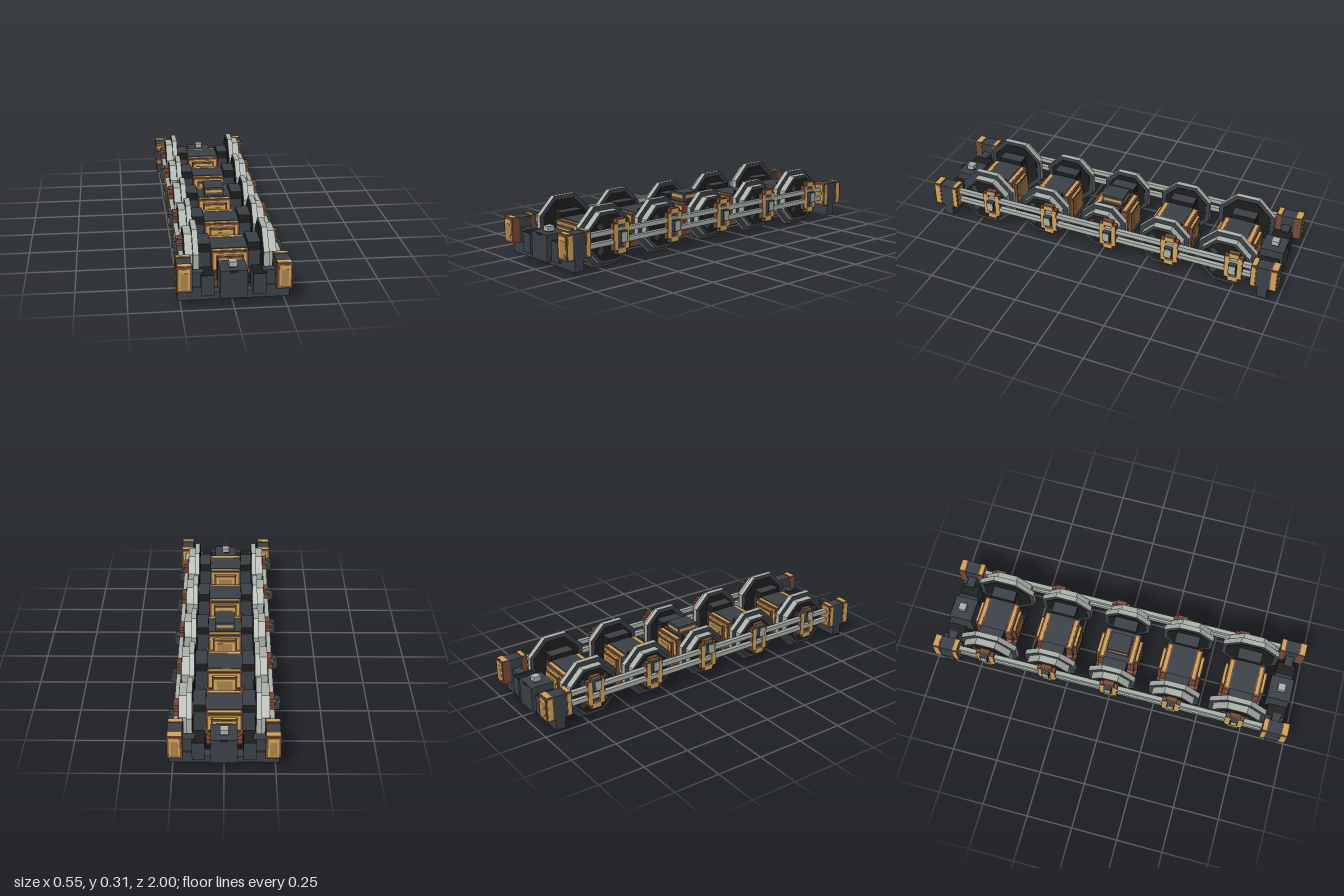
import * as THREE from 'three';

const mat = (name, color) => {
  const m = new THREE.MeshStandardMaterial({ color });
  m.name = name;
  return m;
};

export function createModel() {
  const slate = mat('slate steel', 0x3b4148);
  const black = mat('black iron', 0x1e1e1e);
  const grey = mat('bare steel', 0xadb3ac);
  const brown = mat('copper brown', 0x784a38);
  const gold = mat('brass', 0xd0a75a);
  const tan = mat('bronze', 0xb0834f);

  const model = new THREE.Group();
  model.name = 'drivingBogie';

  // Box given by its two limits on each axis
  function box(parent, name, m, x0, x1, y0, y1, z0, z1) {
    const mesh = new THREE.Mesh(new THREE.BoxGeometry(Math.abs(x1 - x0), y1 - y0, Math.abs(z1 - z0)), m);
    mesh.position.set((x0 + x1) / 2, (y0 + y1) / 2, (z0 + z1) / 2);
    mesh.name = name;
    parent.add(mesh);
    return mesh;
  }

  // Eight-sided disc on the x axis; r is the distance to the flats
  function octagon(parent, name, m, r, x0, x1) {
    const R = r / Math.cos(Math.PI / 8);
    const g = new THREE.CylinderGeometry(R, R, Math.abs(x1 - x0), 8).toNonIndexed();
    g.rotateY(Math.PI / 8).rotateZ(Math.PI / 2);
    g.computeVertexNormals();
    const mesh = new THREE.Mesh(g, m);
    mesh.position.set((x0 + x1) / 2, 0.155, 0);
    mesh.name = name;
    parent.add(mesh);
  }

  // Flanged wheel with steel rims and dark faces
  function wheel(parent, s, r) {
    const rim = [grey, slate, slate];
    octagon(parent, 'wheelFlange', rim, r, s * 0.155, s * 0.183);
    octagon(parent, 'wheelTread', rim, r - 0.025, s * 0.183, s * 0.221);
    octagon(parent, 'wheelOuterFace', black, r - 0.04, s * 0.217, s * 0.2225);
    octagon(parent, 'wheelInnerFace', black, r - 0.022, s * 0.152, s * 0.16);
    for (let i = 0; i < 4; i++) { // small diagonal spokes
      const a = Math.PI / 4 + i * Math.PI / 2;
      const b = box(parent, 'wheelSpoke', slate, s * 0.218, s * 0.224, 0, 0.034, -0.014, 0.014);
      b.position.y = 0.155 + Math.cos(a) * (r - 0.07);
      b.position.z = Math.sin(a) * (r - 0.07);
      b.rotation.x = a;
    }
  }

  // Outline and slot of the slotted rod bracket, in z-y
  function bracketShape(inset) {
    const h = 0.091 - inset, w = 0.05 - inset, c = 0.021;
    const s = new THREE.Shape();
    [[-w + c, -h], [w - c, -h], [w - c, -h + c], [w, -h + c], [w, h - c], [w - c, h - c],
      [w - c, h], [-w + c, h], [-w + c, h - c], [-w, h - c], [-w, -h + c], [-w + c, -h + c]]
      .forEach(([x, y], i) => (i ? s.lineTo(x, y) : s.moveTo(x, y)));
    const a = 0.021, b = 0.06;
    const hole = new THREE.Path();
    hole.moveTo(-a, -b); hole.lineTo(-a, b); hole.lineTo(a, b); hole.lineTo(a, -b); hole.closePath();
    s.holes.push(hole);
    return s;
  }
  function bracketLayer(parent, name, m, inset, x0, x1, z) {
    const depth = Math.abs(x1 - x0);
    const g = new THREE.ExtrudeGeometry(bracketShape(inset), { depth, bevelEnabled: false });
    g.translate(0, 0, -depth / 2).rotateY(Math.PI / 2);
    const mesh = new THREE.Mesh(g, m);
    mesh.position.set((x0 + x1) / 2, 0.156, z);
    mesh.name = name;
    parent.add(mesh);
  }

  // Five axles, the wheels growing toward both ends
  const radii = [0.156, 0.14, 0.13, 0.14, 0.156];
  radii.forEach((r, i) => {
    const axle = new THREE.Group();
    axle.name = 'axle' + (i + 1);
    axle.position.z = (i - 2) * 0.351;
    model.add(axle);

    // Gearbox between the wheels
    box(axle, 'gearboxCore', slate, -0.09, 0.09, 0.11, 0.21, -0.066, 0.066);
    box(axle, 'gearboxFrame', brown, -0.09, 0.09, 0.105, 0.207, -0.1, 0.1);
    box(axle, 'gearboxNose', brown, -0.065, 0.065, 0.05, 0.187, -0.118, 0.118);
    box(axle, 'gearboxFoot', brown, -0.09, 0.09, 0.04, 0.065, -0.118, 0.118);
    box(axle, 'gearboxUnderside', slate, -0.09, 0.09, 0.035, 0.041, -0.118, 0.118);
    for (const z of [-1, 1]) {
      box(axle, 'brassFacePanel', gold, -0.08, 0.08, 0.115, 0.198, z * 0.097, z * 0.102);
      box(axle, 'brassNosePanel', gold, -0.055, 0.055, 0.075, 0.178, z * 0.117, z * 0.12);
      box(axle, 'bronzeNosePanel', tan, -0.04, 0.04, 0.085, 0.165, z * 0.118, z * 0.122);
      box(axle, 'brassTopStrip', gold, -0.08, 0.08, 0.204, 0.209, z * 0.074, z * 0.09);
      box(axle, 'brassNoseStrip', gold, -0.055, 0.055, 0.184, 0.189, z * 0.1, z * 0.113);
    }

    for (const s of [-1, 1]) {
      const brace = box(axle, 'gearboxBrace', brown, -0.009, 0.009, 0, 0.06, -0.1, 0.1);
      brace.position.set(s * 0.077, 0.085, 0);
      brace.rotation.z = -s * 0.75;
      box(axle, 'axleBox', slate, s * 0.09, s * 0.155, 0.075, 0.19, -0.066, 0.066);
      box(axle, 'axleBoxCover', black, s * 0.09, s * 0.155, 0.19, 0.234, -0.066, 0.066);
      box(axle, 'axleBoxCap', slate, s * 0.09, s * 0.155, 0.2335, 0.2355, -0.066, 0.066);
      wheel(axle, s, r);

      // Slotted bracket and crank pin, a quarter turn apart on the two sides
      const z = s > 0 ? -0.054 : 0;
      const y = s > 0 ? 0.156 : 0.205;
      box(axle, 'bracketBacking', slate, s * 0.2215, s * 0.229, 0.094, 0.218, z - 0.024, z + 0.024);
      bracketLayer(axle, 'rodBracket', brown, 0, s * 0.222, s * 0.247, z);
      bracketLayer(axle, 'rodBracketTrim', gold, 0.005, s * 0.246, s * 0.249, z);
      box(axle, 'crankPin', slate, s * 0.215, s * 0.27, y - 0.03, y + 0.03, z - 0.021, z + 0.021);
      box(axle, 'crankPinCap', grey, s * 0.268, s * 0.273, y - 0.025, y + 0.025, z - 0.017, z + 0.017);
    }

    // Raised pivot plate on the centre axle
    if (i === 2) {
      box(axle, 'pivotBase', slate, -0.052, 0.052, 0.205, 0.225, -0.06, 0.06);
      box(axle, 'pivotBlock', brown, -0.052, 0.052, 0.224, 0.248, -0.06, 0.06);
      box(axle, 'pivotPlate', slate, -0.052, 0.052, 0.247, 0.26, -0.06, 0.06);
      for (const z of [-1, 1])
        box(axle, 'pivotTrim', gold, -0.044, 0.044, 0.233, 0.246, z * 0.058, z * 0.062);
      for (const s of [-1, 1])
        box(axle, 'pivotSideTrim', gold, s * 0.05, s * 0.0535, 0.233, 0.246, -0.05, 0.05);
    }
  });

  // Twin coupling rods on each side
  for (const s of [-1, 1])
    for (const y of [0.133, 0.187])
      box(model, 'couplingRod', grey, s * 0.224, s * 0.247, y - 0.012, y + 0.012, -0.86, 0.86);

  // Matching end beams
  for (const d of [-1, 1]) {
    const end = new THREE.Group();
    end.name = d > 0 ? 'frontBeam' : 'rearBeam';
    model.add(end);
    const b = (name, m, x0, x1, y0, y1, z0, z1) => box(end, name, m, x0, x1, y0, y1, d * z0, d * z1);
    b('lowerBeam', slate, -0.267, 0.267, 0.028, 0.065, 0.895, 0.948);
    b('centreBox', slate, -0.065, 0.065, 0.04, 0.18, 0.845, 0.97);
    b('centrePinBase', black, -0.02, 0.02, 0.178, 0.184, 0.89, 0.93);
    b('centrePin', grey, -0.02, 0.02, 0.183, 0.208, 0.89, 0.93);
    b('centrePinKeeper', black, -0.02, 0.02, 0.169, 0.181, 0.967, 0.972);
    for (const s of [-1, 1]) {
      b('beamEnd', slate, s * 0.14, s * 0.267, 0.03, 0.092, 0.895, 0.948);
      b('beamArm', slate, s * 0.14, s * 0.2, 0.09, 0.165, 0.897, 0.942);
      b('sideBox', slate, s * 0.092, s * 0.155, 0.053, 0.156, 0.862, 0.963);
      b('sideBoxLid', black, s * 0.092, s * 0.155, 0.1555, 0.158, 0.862, 0.963);
      // Corner block with framed brass ends
      b('cornerBlock', slate, s * 0.2, s * 0.27, 0.09, 0.219, 0.875, 0.975);
      b('cornerInnerFrame', brown, s * 0.197, s * 0.272, 0.09, 0.222, 0.855, 0.885);
      b('cornerOuterFrame', brown, s * 0.197, s * 0.272, 0.092, 0.222, 0.957, 0.997);
      b('cornerPanel', gold, s * 0.209, s * 0.262, 0.104, 0.21, 0.993, 0.999);
      b('cornerPanelCentre', tan, s * 0.218, s * 0.253, 0.107, 0.19, 0.995, 1.0);
      b('cornerBackPanel', gold, s * 0.209, s * 0.262, 0.104, 0.21, 0.853, 0.857);
      b('cornerBackCentre', tan, s * 0.218, s * 0.253, 0.107, 0.19, 0.852, 0.856);
      for (const [z, h] of [[0.87, 0.01], [0.977, 0.014]]) {
        b('cornerTopTrim', gold, s * 0.203, s * 0.266, 0.219, 0.2235, z - h, z + h);
        b('cornerSideTrim', gold, s * 0.269, s * 0.2735, 0.098, 0.214, z - h, z + h);
      }
    }
  }
  return model;
}
